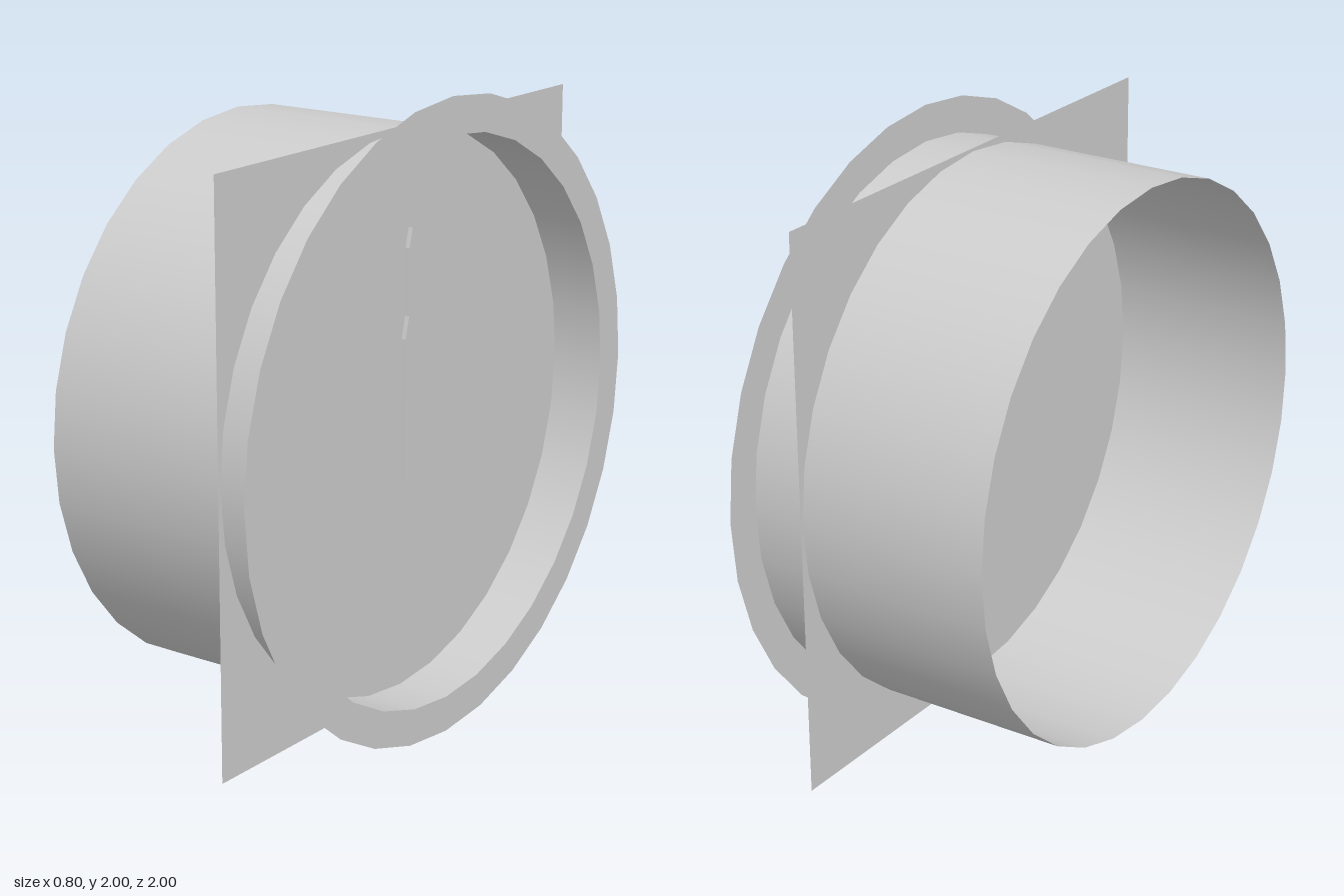
import * as THREE from 'three';

export function createModel() {
  const group = new THREE.Group();
  group.name = 'gauge';
  const grey = new THREE.MeshStandardMaterial({ color: 0xcccccc, side: THREE.DoubleSide });
  grey.name = 'light grey';

  const SEGMENTS = 32, RADIUS = 0.885, CENTRE_Y = 1;

  // every part is centred on the gauge axis, which runs along x
  const add = (name, geometry, x) => {
    const mesh = new THREE.Mesh(geometry, grey);
    mesh.name = name;
    mesh.position.set(x, CENTRE_Y, 0);
    group.add(mesh);
  };

  // open tubular housing
  const housing = new THREE.CylinderGeometry(RADIUS, RADIUS, 0.8, SEGMENTS, 1, true);
  add('housing', housing.rotateZ(-Math.PI / 2), 0);

  // flat ring around the open face
  add('bezel', new THREE.RingGeometry(RADIUS, 1, SEGMENTS).rotateY(Math.PI / 2), 0.4);

  // square dial plate cutting through the housing
  add('dialPlate', new THREE.PlaneGeometry(1.79, 1.79).rotateY(Math.PI / 2), 0.225);

  // slim pointer just in front of the dial
  const outline = new THREE.Shape([
    [-0.033, -0.21], [0.033, -0.21], [0.033, 0.25], [0.016, 0.32],
    [0.016, 0.53], [0, 0.59], [-0.016, 0.53], [-0.016, 0.32], [-0.033, 0.25],
  ].map(([x, y]) => new THREE.Vector2(x, y)));
  const pointer = new THREE.ExtrudeGeometry(outline, { depth: 0.015, bevelEnabled: false });
  add('pointer', pointer.rotateY(Math.PI / 2), 0.245);

  return group;
}
